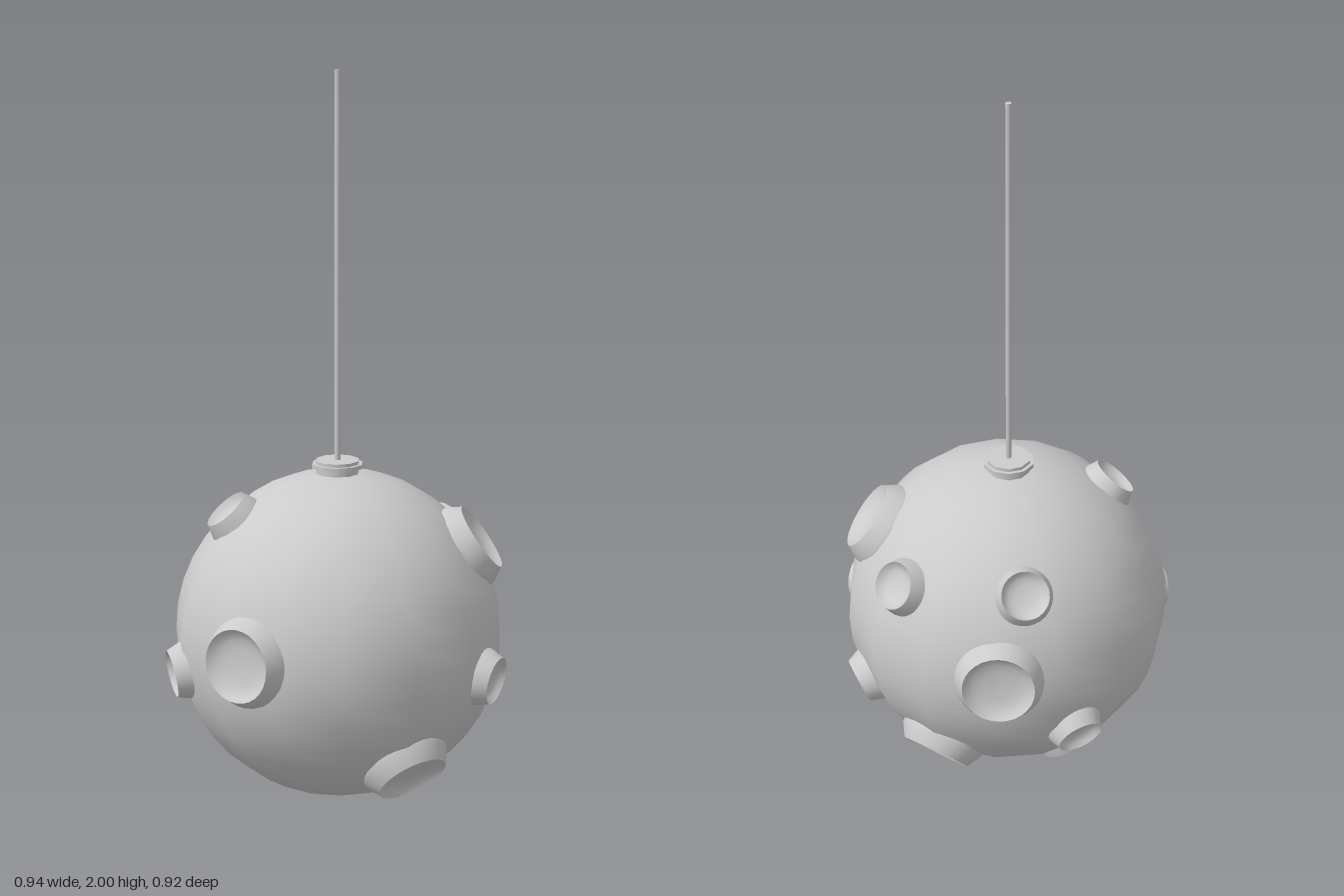
import * as THREE from 'three';

const material = new THREE.MeshStandardMaterial({ color: 0xcccccc });
const UP = new THREE.Vector3(0, 1, 0);

function addLathe(parent, name, points, segments) {
  const profile = points.map(([r, y]) => new THREE.Vector2(r, y));
  const mesh = new THREE.Mesh(new THREE.LatheGeometry(profile, segments), material);
  mesh.name = name;
  parent.add(mesh);
  return mesh;
}

// Raised crater: sloping collar outside, shallow bowl inside; s scales its width
function createCrater(s) {
  const crater = new THREE.Group();
  crater.name = 'crater';
  addLathe(crater, 'craterWall', [[0.122 * s, 0.42], [0.121 * s, 0.442], [0.098 * s, 0.482]], 28);
  addLathe(crater, 'craterBowl',
    [[0.098 * s, 0.482], [0.086 * s, 0.47], [0.068 * s, 0.461], [0.04 * s, 0.456], [0, 0.455]], 28);
  return crater;
}

export function createModel() {
  const model = new THREE.Group();
  model.name = 'hangingCrateredBall';

  // Ball with its craters, built around the ball's centre
  const ball = new THREE.Group();
  ball.name = 'ball';
  ball.position.set(0.01, 0.46, 0);
  model.add(ball);

  const sphere = new THREE.Mesh(new THREE.SphereGeometry(0.455, 15, 20), material);
  sphere.name = 'sphere';
  sphere.rotation.y = Math.PI;
  ball.add(sphere);

  // Crater directions from the ball's centre, by size
  const large = [
    [0.005, -0.31, 0.35], [0.3, 0.27, 0.23], [0.33, -0.31, -0.12],
    [0.29, 0.05, -0.36], [-0.435, 0.03, 0.19],
  ];
  const small = [
    [0.235, -0.07, 0.4], [0.42, -0.175, 0.12], [0.395, 0.24, -0.04], [0.175, 0.28, -0.32],
    [-0.285, 0.355, -0.11], [-0.445, -0.08, -0.13], [0.07, -0.175, -0.43], [-0.04, -0.415, -0.22],
  ];
  for (const [list, scale] of [[large, 1], [small, 0.66]]) {
    for (const dir of list) {
      const crater = createCrater(scale);
      crater.quaternion.setFromUnitVectors(UP, new THREE.Vector3(...dir).normalize());
      ball.add(crater);
    }
  }

  // Stepped cap where the cable enters the ball
  const steps = [[0.06, 0.89, 0.93], [0.071, 0.926, 0.938], [0.061, 0.938, 0.947]];
  for (const [r, y0, y1] of steps) {
    const step = new THREE.Mesh(new THREE.CylinderGeometry(r, r, y1 - y0, 10), material);
    step.name = 'capStep';
    step.position.set(0.01, (y0 + y1) / 2, -0.008);
    model.add(step);
  }

  // Thin straight cable
  const cable = new THREE.Mesh(new THREE.CylinderGeometry(0.008, 0.008, 1.07, 10), material);
  cable.name = 'cable';
  cable.position.set(0.01, 1.465, -0.008);
  model.add(cable);

  return model;
}
